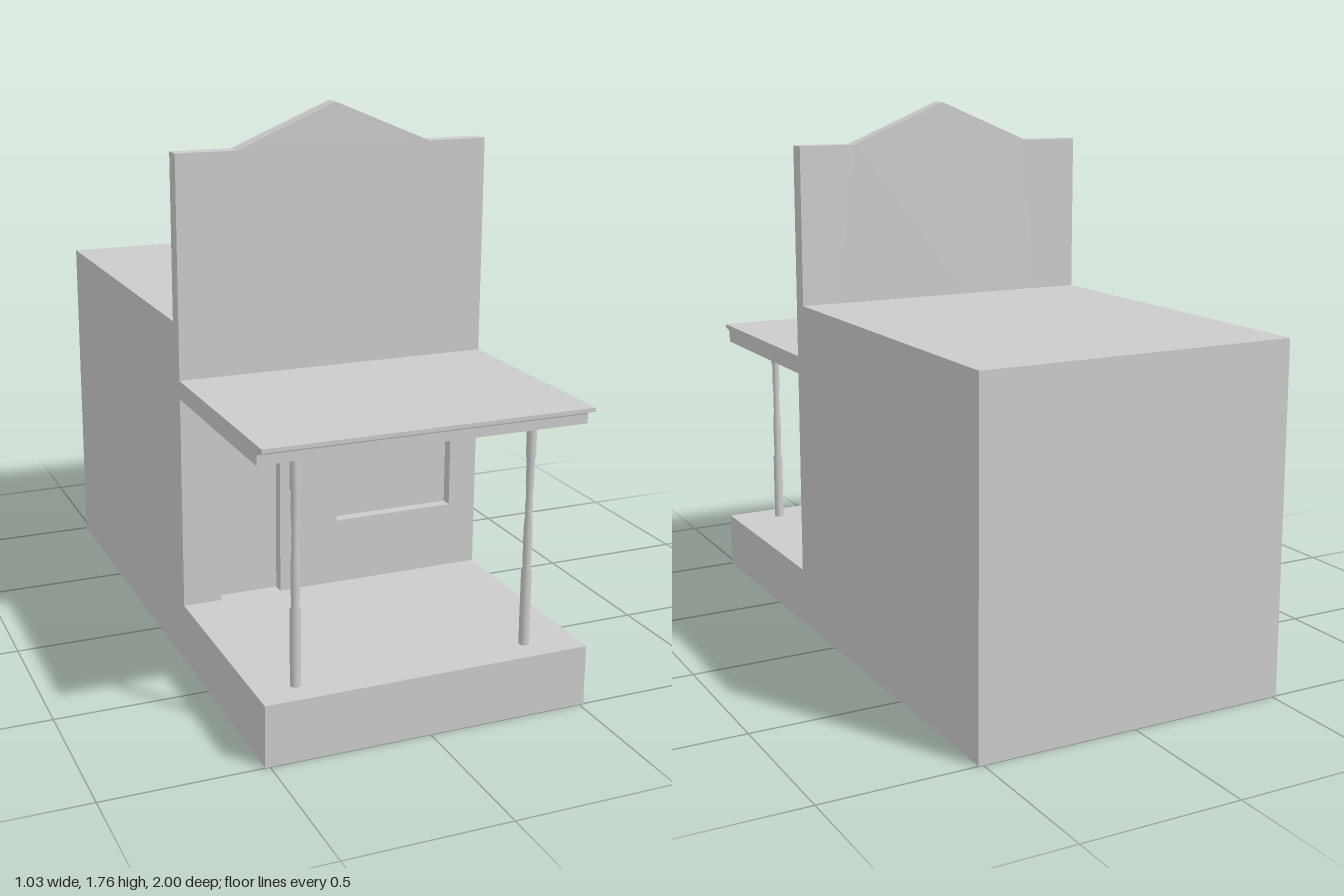
import * as THREE from 'three';

const grey = new THREE.MeshStandardMaterial({ color: 0xcccccc });
const W = 0.515;        // half width of the building
const DECK = 0.19;      // porch floor height
const FRONT = 0.27;     // front plane of the facade
const BACK = 0.215;     // rear plane of the facade

function addMesh(parent, name, geometry) {
  const mesh = new THREE.Mesh(geometry, grey);
  mesh.name = name;
  parent.add(mesh);
  return mesh;
}

function shapeFrom(points) {
  return new THREE.Shape(points.map(([x, y]) => new THREE.Vector2(x, y)));
}

// Box given by its minimum and maximum corners
function addBox(parent, name, [x0, y0, z0], [x1, y1, z1]) {
  const mesh = addMesh(parent, name, new THREE.BoxGeometry(x1 - x0, y1 - y0, z1 - z0));
  mesh.position.set((x0 + x1) / 2, (y0 + y1) / 2, (z0 + z1) / 2);
  return mesh;
}

// Side profile in (z, y), extruded over the full width
function addAcross(parent, name, shape) {
  const geometry = new THREE.ExtrudeGeometry(shape, { depth: 2 * W, bevelEnabled: false, curveSegments: 6 });
  geometry.rotateY(-Math.PI / 2).translate(W, 0, 0);
  return addMesh(parent, name, geometry);
}

export function createModel() {
  const model = new THREE.Group();
  model.name = 'falseFrontBuilding';

  // Main block and raised porch as one stepped body
  addAcross(model, 'body', shapeFrom([
    [-1, 0], [1, 0], [1, DECK], [BACK, DECK], [BACK, 1.11], [-1, 1.11],
  ]));

  // Tall facade with a gable, a door notch and a window opening
  const door = { x0: -0.39, x1: -0.187, top: 0.71 };
  const win = { x0: 0.01, x1: 0.42, y0: 0.405, y1: 0.71 };
  const facade = shapeFrom([
    [-W, DECK], [door.x0, DECK], [door.x0, door.top], [door.x1, door.top], [door.x1, DECK],
    [W, DECK], [W, 1.63], [0.32, 1.63], [0, 1.763], [-0.32, 1.63], [-W, 1.63],
  ]);
  facade.holes.push(new THREE.Path([
    [win.x0, win.y0], [win.x0, win.y1], [win.x1, win.y1], [win.x1, win.y0],
  ].map(([x, y]) => new THREE.Vector2(x, y))));
  const wall = new THREE.ExtrudeGeometry(facade, { depth: FRONT - BACK, bevelEnabled: false });
  addMesh(model, 'facade', wall.translate(0, 0, BACK));

  // Recessed panels
  const recess = FRONT - 0.037;
  addBox(model, 'door', [door.x0, DECK, BACK], [door.x1, door.top, recess]);
  addBox(model, 'windowPane', [win.x0, win.y0, BACK], [win.x1, win.y1, recess]);

  // Porch roof with a small cove moulding along its front edge
  const roof = new THREE.Shape();
  roof.moveTo(FRONT, 0.875);
  roof.lineTo(0.948, 0.875);
  roof.lineTo(0.948, 0.904);
  roof.quadraticCurveTo(0.952, 0.92, 0.975, 0.92);
  roof.lineTo(0.988, 0.922);
  roof.lineTo(0.988, 0.934);
  roof.lineTo(FRONT, 0.934);
  roof.closePath();
  addAcross(model, 'porchRoof', roof);

  // Turned porch posts: radius and height
  const turned = [
    [0.016, DECK], [0.016, 0.425], [0.012, 0.43], [0.0135, 0.5], [0.0135, 0.56],
    [0.010, 0.61], [0.012, 0.63], [0.010, 0.65], [0.0125, 0.71], [0.012, 0.775],
    [0.015, 0.78], [0.015, 0.875],
  ].map(([r, y]) => new THREE.Vector2(r, y));
  for (const [name, x] of [['rightPost', -0.389], ['leftPost', 0.351]]) {
    addMesh(model, name, new THREE.LatheGeometry(turned, 16)).position.set(x, 0, 0.912);
  }

  return model;
}
